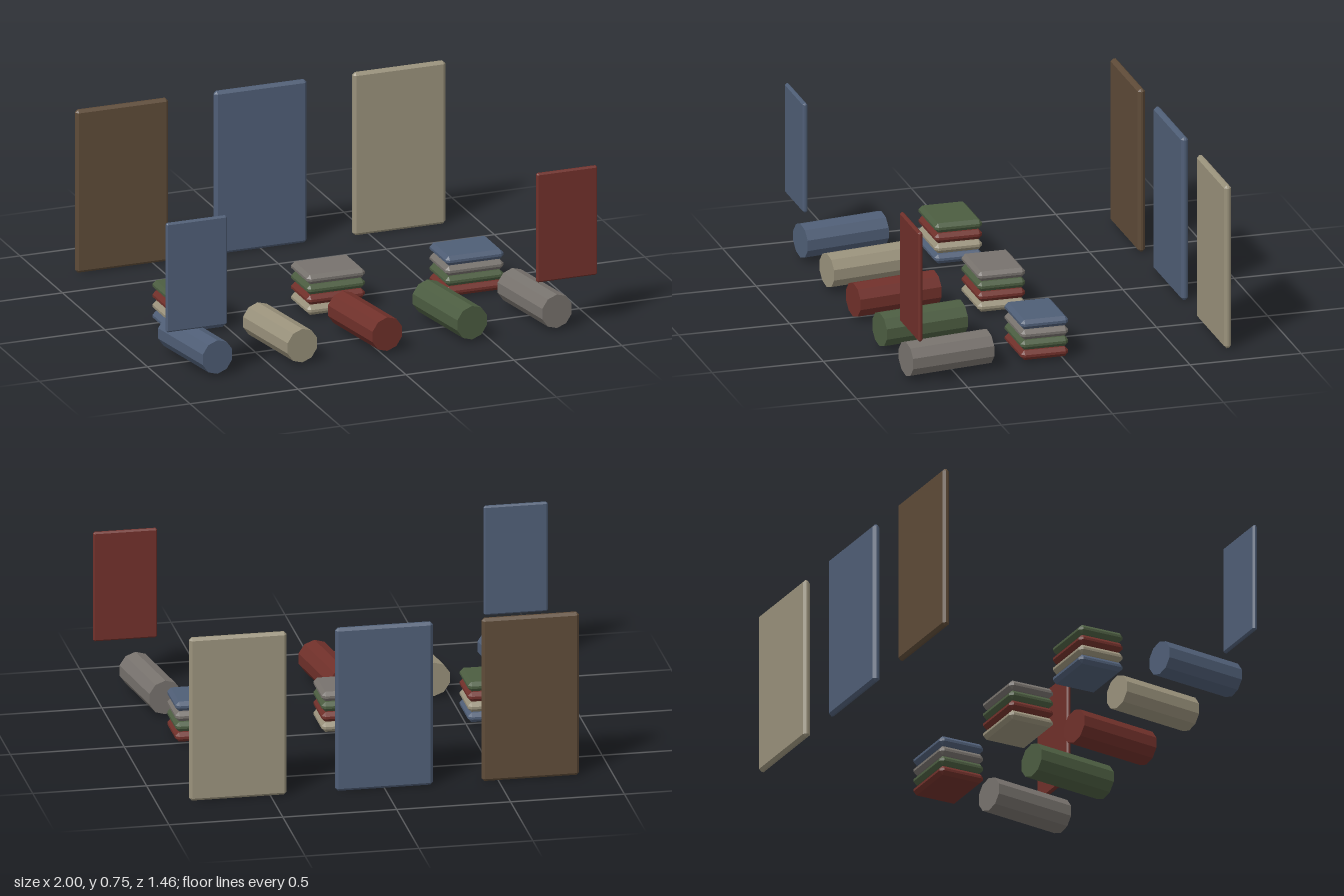
import * as THREE from 'three';
import { ConvexGeometry } from 'three/addons/geometries/ConvexGeometry.js';

const paint = (name, color) => {
  const m = new THREE.MeshStandardMaterial({ color });
  m.name = name;
  return m;
};

// Box with every edge and corner chamfered by b
function chamferBox(w, h, d, b) {
  const [x, y, z] = [w / 2, h / 2, d / 2];
  const points = [];
  for (const i of [-1, 1]) for (const j of [-1, 1]) for (const k of [-1, 1]) {
    points.push(
      new THREE.Vector3(i * x, j * (y - b), k * (z - b)),
      new THREE.Vector3(i * (x - b), j * y, k * (z - b)),
      new THREE.Vector3(i * (x - b), j * (y - b), k * z));
  }
  return new ConvexGeometry(points);
}

// Ten-sided roll lying along z with a ridge on top
function rollGeometry(radius, length) {
  const g = new THREE.CylinderGeometry(radius, radius, length, 10).toNonIndexed();
  g.rotateX(Math.PI / 2);
  g.computeVertexNormals();
  return g;
}

export function createModel() {
  const model = new THREE.Group();
  model.name = 'fabricDisplay';

  const blue = paint('blue cloth', 0x4f5e76);
  const cream = paint('cream cloth', 0x99917b);
  const red = paint('red cloth', 0x70302a);
  const green = paint('green cloth', 0x4c5d41);
  const gray = paint('gray cloth', 0x77726d);
  const brown = paint('brown cloth', 0x5e4b38);
  const cloth = [blue, cream, red, green, gray];

  const add = (parent, name, geometry, material, x, y, z) => {
    const mesh = new THREE.Mesh(geometry, material);
    mesh.name = name;
    mesh.position.set(x, y, z);
    parent.add(mesh);
    return mesh;
  };

  // Three tall panels along the back
  const panel = chamferBox(0.428, 0.746, 0.033, 0.012);
  [brown, blue, cream].forEach((m, i) =>
    add(model, `backPanel${i + 1}`, panel, m, (i - 1) * 0.642, 0.379, -0.716));

  // Three stacks of four folded cloths, each starting one colour later
  const fold = chamferBox(0.27, 0.043, 0.214, 0.016);
  for (let s = 0; s < 3; s++) {
    const stack = new THREE.Group();
    stack.name = `foldedStack${s + 1}`;
    stack.position.set((s - 1) * 0.642, 0, 0.083);
    for (let k = 0; k < 4; k++) {
      add(stack, `foldedCloth${k + 1}`, fold, cloth[(s + k) % 5], 0, 0.037 + k * 0.047, 0);
    }
    model.add(stack);
  }

  // Row of five angled rolls
  const roll = rollGeometry(0.077, 0.386);
  cloth.forEach((m, i) => {
    add(model, `roll${i + 1}`, roll, m, (i - 2) * 0.393 - 0.005, 0.094, 0.53).rotation.y = 0.147;
  });

  // Two thin hanging pieces at the front corners
  const hanging = chamferBox(0.281, 0.5, 0.021, 0.007);
  add(model, 'rightHangingCloth', hanging, blue, -0.858, 0.486, 0.712);
  add(model, 'leftHangingCloth', hanging, red, 0.857, 0.486, 0.712);

  return model;
}
